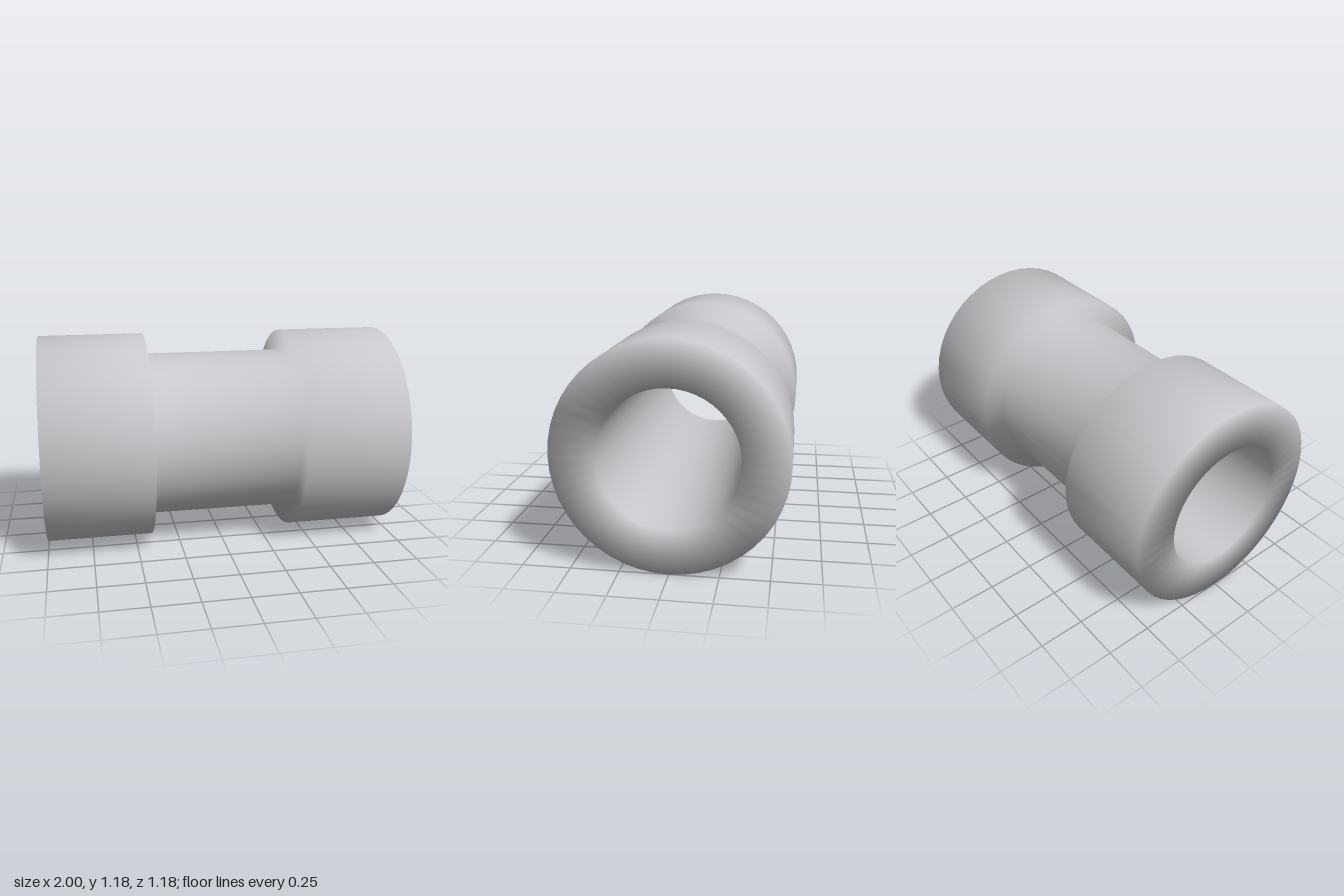
import * as THREE from 'three';
import { mergeVertices } from 'three/addons/utils/BufferGeometryUtils.js';

export function createModel() {
  const group = new THREE.Group();
  group.name = 'pipeCoupling';

  const grey = new THREE.MeshStandardMaterial({ color: 0xc8c8cc });
  grey.name = 'light grey';

  const bore = 0.353, waist = 0.47, collar = 0.588;
  const end = 1, step = 0.412;

  // Closed section: outer wall with two collars, then back through the bore
  const section = [
    [bore, -end], [collar, -end], [collar, -step], [waist, -step],
    [waist, step], [collar, step], [collar, end], [bore, end], [bore, -end],
  ].map(([r, a]) => new THREE.Vector2(r, a));

  // Weld all corners so the shading rolls softly over every edge
  let geometry = new THREE.LatheGeometry(section, 48);
  geometry.deleteAttribute('normal');
  geometry.deleteAttribute('uv');
  geometry = mergeVertices(geometry, 1e-4);
  geometry.computeVertexNormals();
  geometry.rotateZ(-Math.PI / 2);

  const body = new THREE.Mesh(geometry, grey);
  body.name = 'collaredTube';
  body.position.y = collar;
  group.add(body);

  return group;
}
